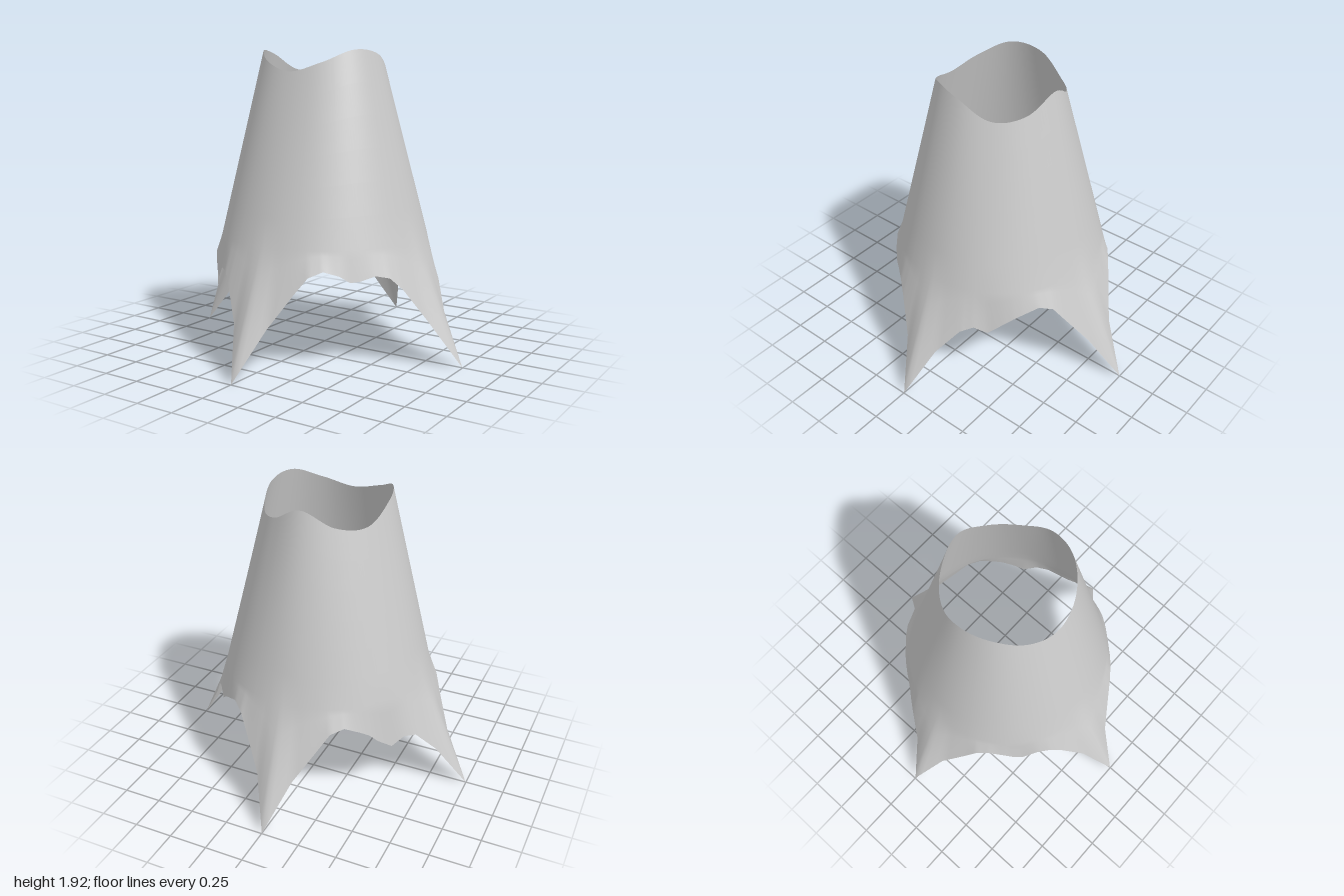
import * as THREE from 'three';

// Lower hem of one quarter: angles from a leg tip to the next, and plan radii there
const HEM_ANGLES = [0, 8.4, 18.7, 25, 32, 40, 45, 50, 58, 65, 71.3, 81.6];
const HEM_RADII = [0.997, 0.82, 0.75, 0.725, 0.71, 0.705, 0.705, 0.705, 0.71, 0.725, 0.75, 0.82];

// Hem heights per quarter, going round from the front tip towards +x
const HEM_HEIGHTS = [
  [0, 0.3, 0.5, 0.6, 0.635, 0.605, 0.565, 0.57, 0.595, 0.575, 0.5, 0.3],
  [0, 0.3, 0.47, 0.505, 0.46, 0.53, 0.57, 0.6, 0.64, 0.61, 0.5, 0.3],
  [0, 0.3, 0.5, 0.61, 0.64, 0.595, 0.56, 0.5, 0.43, 0.475, 0.46, 0.3],
  [0, 0.3, 0.48, 0.59, 0.615, 0.57, 0.52, 0.49, 0.57, 0.57, 0.5, 0.3],
];

// Wavy upper rim heights every 30 degrees, starting at the front
const RIM_HEIGHTS = [1.785, 1.84, 1.915, 1.89, 1.79, 1.81, 1.905, 1.81, 1.79, 1.89, 1.915, 1.84];

const RIM_RADIUS = 0.39;
const WAIST_RADIUS = 0.665;
const WAIST_HEIGHT = 0.75;
const STEPS = 4; // columns between two hem points
const UPPER_ROWS = 6;
const LOWER_ROWS = 4;

const onCircle = (degrees, radius, y) => {
  const a = THREE.MathUtils.degToRad(degrees);
  return new THREE.Vector3(Math.sin(a) * radius, y, Math.cos(a) * radius);
};

function buildShell() {
  const rim = new THREE.CatmullRomCurve3(
    RIM_HEIGHTS.map((y, i) => onCircle(i * 30, RIM_RADIUS, y)), true, 'catmullrom', 0.5);

  const hem = [];
  HEM_HEIGHTS.forEach((heights, q) => heights.forEach((y, i) => {
    const angle = q * 90 + HEM_ANGLES[i];
    hem.push({ angle, point: onCircle(angle, HEM_RADII[i], y) });
  }));

  const columns = hem.length * STEPS;
  const rows = UPPER_ROWS + LOWER_ROWS + 1;
  const positions = [];
  const indices = [];

  for (let c = 0; c < columns; c++) {
    const k = Math.floor(c / STEPS);
    const t = (c % STEPS) / STEPS;
    const from = hem[k];
    const to = hem[(k + 1) % hem.length];
    const toAngle = k + 1 === hem.length ? 360 : to.angle;
    const angle = THREE.MathUtils.lerp(from.angle, toAngle, t);

    const top = onCircle(angle, RIM_RADIUS, rim.getPoint(angle / 360).y);
    const waist = onCircle(angle, WAIST_RADIUS, WAIST_HEIGHT);
    const bottom = from.point.clone().lerp(to.point, t);

    // Straight cone down to the waist, then the flare to the hem
    for (let r = 0; r < rows; r++) {
      const p = r <= UPPER_ROWS
        ? top.clone().lerp(waist, r / UPPER_ROWS)
        : waist.clone().lerp(bottom, (r - UPPER_ROWS) / LOWER_ROWS);
      positions.push(p.x, p.y, p.z);
    }

    const next = (c + 1) % columns;
    for (let r = 0; r < rows - 1; r++) {
      const a = c * rows + r;
      const b = next * rows + r;
      indices.push(a, a + 1, b + 1, a, b + 1, b);
    }
  }

  const geometry = new THREE.BufferGeometry();
  geometry.setAttribute('position', new THREE.Float32BufferAttribute(positions, 3));
  geometry.setIndex(indices);
  geometry.computeVertexNormals();
  return geometry;
}

export function createModel() {
  const group = new THREE.Group();
  group.name = 'flaredSleeve';

  // Thin open sleeve with four pointed tips
  const material = new THREE.MeshStandardMaterial({ color: 0xcccccc, side: THREE.DoubleSide });
  const shell = new THREE.Mesh(buildShell(), material);
  shell.name = 'sleeveShell';
  group.add(shell);

  return group;
}
